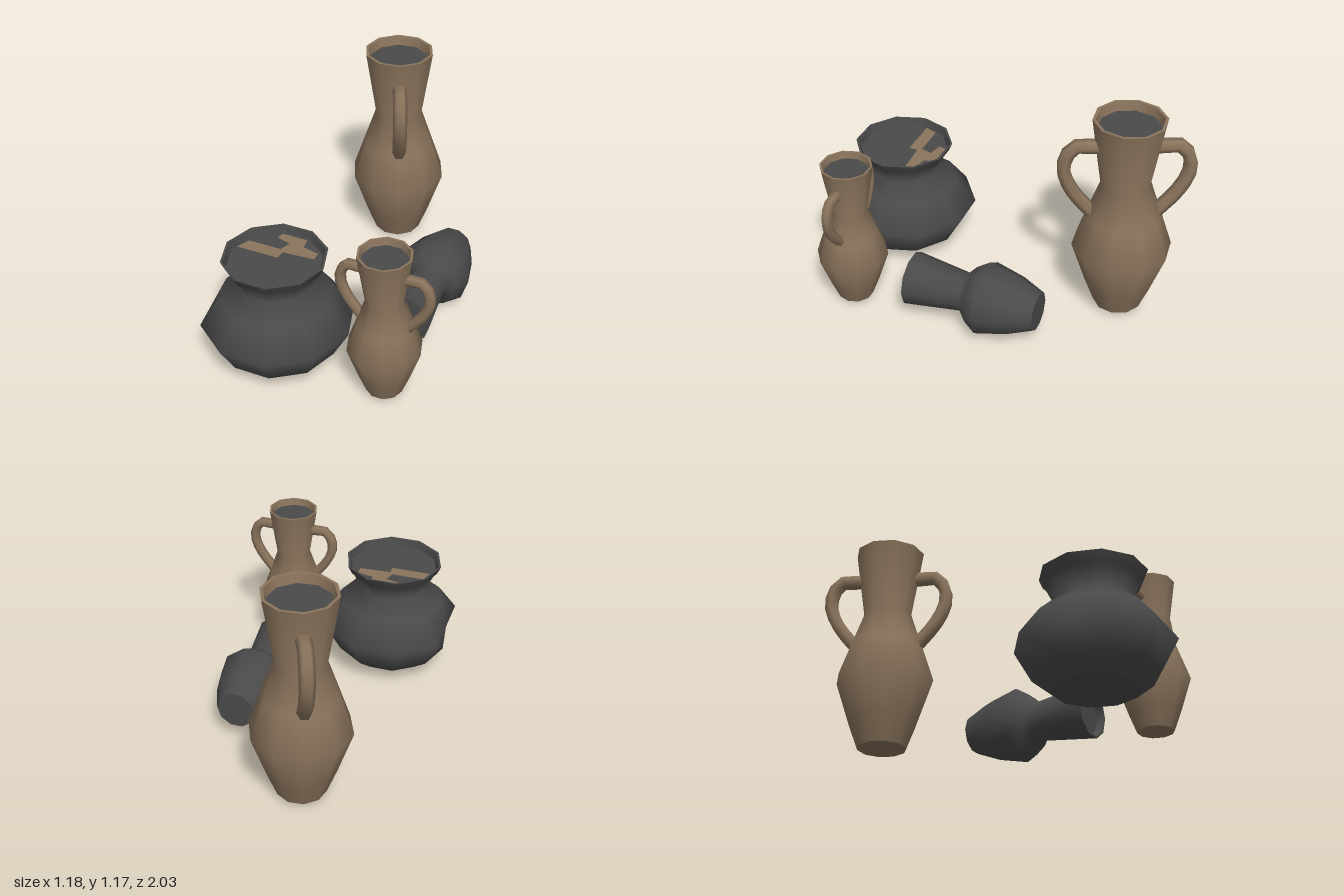
import * as THREE from 'three';

const clay = new THREE.MeshStandardMaterial({ color: 0x8a745c });
clay.name = 'brownClay';
const charcoal = new THREE.MeshStandardMaterial({ color: 0x4a4a4a });
charcoal.name = 'charcoalClay';

const SIDES = 10;

function add(parent, name, geometry, material) {
  const mesh = new THREE.Mesh(geometry, material);
  mesh.name = name;
  parent.add(mesh);
  return mesh;
}

// Ten-sided turned surface with a corner on +x
function turned(points) {
  return new THREE.LatheGeometry(points.map(([r, y]) => new THREE.Vector2(r, y)), SIDES, Math.PI / 2);
}

// Flattens the -x corner of one ring, so two sides merge into one
function flattenCorner(geometry, ringY) {
  const p = geometry.attributes.position;
  let radius = 0;
  for (let i = 0; i < p.count; i++) {
    if (Math.abs(p.getY(i) - ringY) < 1e-4) radius = Math.max(radius, p.getX(i));
  }
  for (let i = 0; i < p.count; i++) {
    if (Math.abs(p.getY(i) - ringY) < 1e-4 && p.getX(i) < -0.95 * radius) p.setX(i, -0.809 * radius);
  }
  return geometry;
}

// Vessel: outer wall, lip, inner wall, dark filling and base
function vessel(name, profile, material, depth, inset, flatRingY) {
  const g = new THREE.Group();
  g.name = name;
  const wall = turned(profile);
  if (flatRingY !== undefined) flattenCorner(wall, flatRingY);
  add(g, 'outerWall', wall, material);

  const [rimR, rimY] = profile[profile.length - 1];
  const lipR = rimR - 0.012;
  const fillR = rimR - inset;
  add(g, 'lip', turned([[rimR, rimY], [lipR, rimY]]), material);
  add(g, 'innerWall', turned([[lipR, rimY], [fillR, rimY - depth]]), material);

  const fill = new THREE.CircleGeometry(fillR, SIDES);
  fill.rotateX(-Math.PI / 2);
  add(g, 'darkInterior', fill, charcoal).position.y = rimY - depth;

  const base = new THREE.CircleGeometry(profile[0][0], SIDES);
  base.rotateX(Math.PI / 2);
  add(g, 'base', base, material).position.y = profile[0][1];
  return g;
}

// Two-handled vase
function handledVase(name) {
  const g = vessel(name, [
    [0.095, 0], [0.133, 0.1], [0.192, 0.275], [0.143, 0.42],
    [0.095, 0.56], [0.138, 0.835],
  ], clay, 0.035, 0.02);

  const points = [
    [0.1, 0.718], [0.14, 0.72], [0.19, 0.72], [0.225, 0.68],
    [0.233, 0.61], [0.198, 0.525], [0.115, 0.42],
  ].map(([x, y]) => new THREE.Vector3(x, y, 0));
  const path = new THREE.CurvePath();
  for (let i = 1; i < points.length; i++) path.add(new THREE.LineCurve3(points[i - 1], points[i]));
  const smooth = new THREE.CatmullRomCurve3(points, false, 'centripetal', 0.5);
  const handle = new THREE.TubeGeometry(smooth, 10, 0.028, 6);
  add(g, 'leftHandle', handle, clay);
  add(g, 'rightHandle', handle, clay).rotation.y = Math.PI;
  return g;
}

export function createModel() {
  const model = new THREE.Group();
  model.name = 'pottery';

  // Small vase at the front
  const small = handledVase('smallVase');
  small.position.set(0.33, 0.02, 0.645);
  model.add(small);

  // Tall vase at the back, turned
  const tall = handledVase('tallVase');
  tall.scale.setScalar(1.377);
  tall.rotation.y = -1.147;
  tall.position.set(-0.172, 0.02, -0.697);
  model.add(tall);

  // Wide round pot with a flared rim
  const pot = vessel('widePot', [
    [0.215, 0.035], [0.31, 0.11], [0.397, 0.265], [0.29, 0.41], [0.19, 0.495],
    [0.237, 0.592], [0.25, 0.6], [0.27, 0.645],
  ], charcoal, 0.04, 0.025, 0.265);
  pot.position.set(-0.275, 0, 0.62);
  model.add(pot);

  // Brown stain on the pot filling
  const stain = new THREE.Shape([
    [-0.23, 0.03], [0.0, 0.03], [0.0, 0.08], [0.17, 0.09], [0.17, 0.14], [0.08, 0.16],
    [0.07, 0.22], [-0.07, 0.22], [-0.08, 0.18], [0.0, 0.16], [-0.02, 0.1], [-0.2, 0.1],
  ].map(([x, y]) => new THREE.Vector2(x, y)));
  const stainGeometry = new THREE.ShapeGeometry(stain);
  stainGeometry.rotateX(-Math.PI / 2);
  add(pot, 'stain', stainGeometry, clay).position.y = 0.609;

  // Dark vase lying on its side, mouth towards the front
  const lying = vessel('lyingVase', [
    [0.105, 0], [0.16, 0.13], [0.2, 0.295], [0.155, 0.365], [0.105, 0.41], [0.147, 0.72],
  ], charcoal, 0.04, 0.02, 0.295);
  lying.rotation.x = Math.PI / 2;
  lying.position.set(0.29, 0.19, -0.41);
  model.add(lying);

  return model;
}
